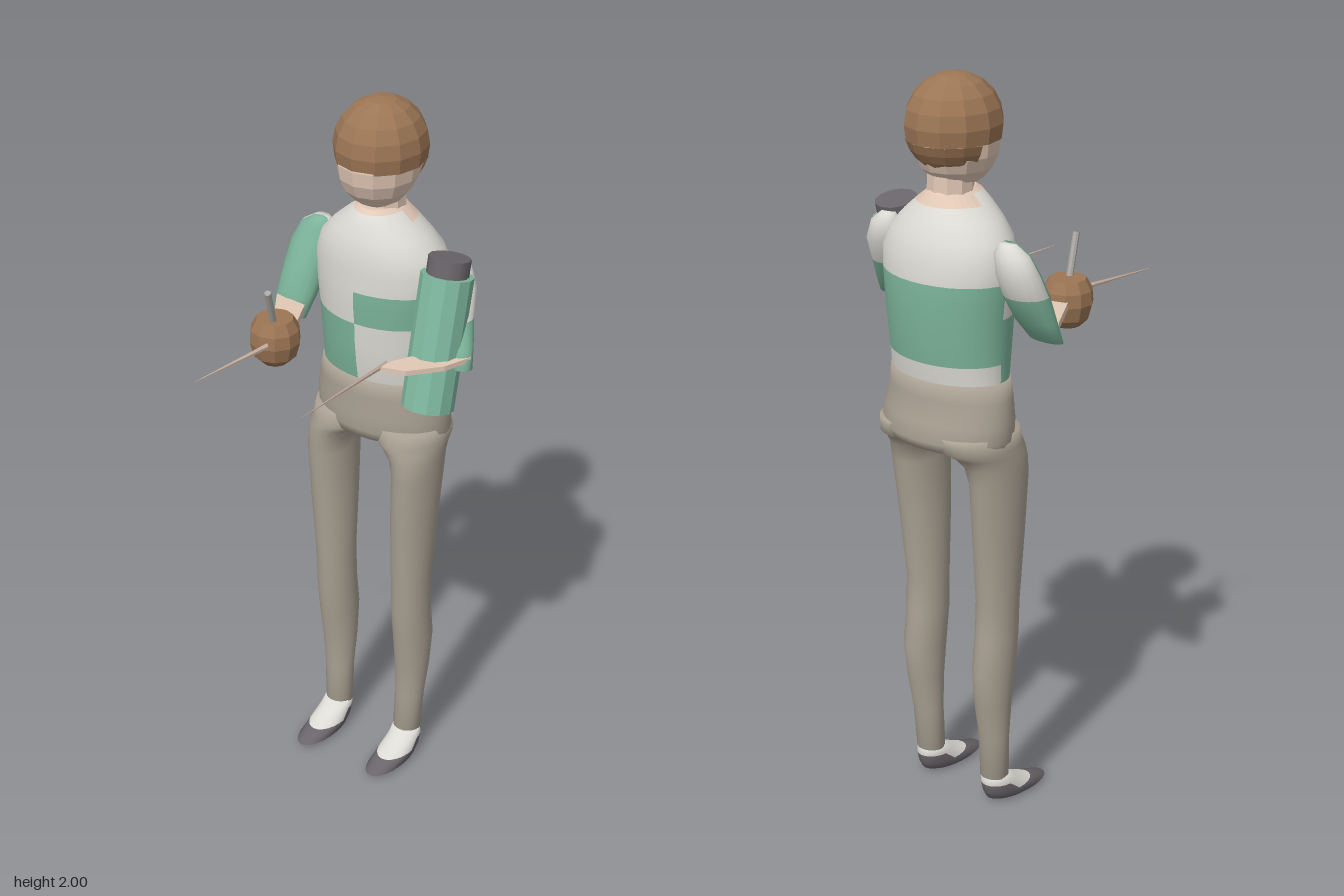
import * as THREE from 'three';

const mat = (name, color, extra = {}) => {
  const m = new THREE.MeshStandardMaterial({ color, ...extra });
  m.name = name;
  return m;
};

export function createModel() {
  const root = new THREE.Group();
  root.name = 'figure';
  const facet = { flatShading: true, side: THREE.DoubleSide };
  const white = mat('shirt white', 0xdddbd5);
  const green = mat('soft green', 0x7db59b, { side: THREE.DoubleSide });
  const grey = mat('trouser grey', 0xa9a092);
  const dark = mat('dark grey', 0x6a656a);
  const skin = mat('skin', 0xe2c8b6, facet);
  const brown = mat('hair brown', 0x9c7655, facet);
  const straw = mat('straw grey', 0xaaa7a3, facet);
  const CX = -0.02; // body centre line

  const add = (name, geo, material, parent = root) => {
    const m = new THREE.Mesh(geo, material);
    m.name = name;
    parent.add(m);
    return m;
  };

  // Stacked oval rings [y, x0, x1, zFront, zBack], rising; pick(y, sin, cos) chooses the material
  const loft = (name, rings, mats, pick = () => 0, n = 24) => {
    const pos = [], faces = mats.map(() => []);
    for (const [y, x0, x1, zf, zb] of rings)
      for (let j = 0; j < n; j++) {
        const a = (j / n) * Math.PI * 2;
        pos.push((x0 + x1) / 2 + Math.abs(x1 - x0) / 2 * Math.sin(a), y, (zf + zb) / 2 + (zf - zb) / 2 * Math.cos(a));
      }
    const top = rings.length - 1, c = rings.length * n;
    for (const i of [0, top]) {
      const [y, x0, x1, zf, zb] = rings[i];
      pos.push((x0 + x1) / 2, y, (zf + zb) / 2);
    }
    for (let j = 0; j < n; j++) {
      const k = (j + 1) % n, mid = ((j + 0.5) / n) * Math.PI * 2;
      const choose = y => faces[pick(y, Math.sin(mid), Math.cos(mid))];
      for (let i = 0; i < top; i++) {
        const a = i * n + j, b = i * n + k;
        choose((rings[i][0] + rings[i + 1][0]) / 2).push(a, b, b + n, a, b + n, a + n);
      }
      choose(rings[0][0]).push(c, k, j);
      choose(rings[top][0]).push(c + 1, top * n + j, top * n + k);
    }
    const g = new THREE.BufferGeometry();
    g.setAttribute('position', new THREE.Float32BufferAttribute(pos, 3));
    g.setIndex(faces.flat());
    let start = 0;
    faces.forEach((f, i) => { g.addGroup(start, f.length, i); start += f.length; });
    g.computeVertexNormals();
    return add(name, g, mats);
  };
  const centred = rows => rows.map(([y, r, zf, zb]) => [y, CX - r, CX + r, zf, zb]);

  // Cylinder between two points
  const rod = (name, a, b, r0, r1, sides, material) => {
    const A = new THREE.Vector3(...a), B = new THREE.Vector3(...b), d = B.clone().sub(A);
    const m = add(name, new THREE.CylinderGeometry(r1, r0, d.length(), sides), material);
    m.position.copy(A).add(B).multiplyScalar(0.5);
    m.quaternion.setFromUnitVectors(new THREE.Vector3(0, 1, 0), d.normalize());
    return m;
  };

  // Shirt: quartered front, one wide band behind
  loft('shirt', centred([
    [1.2, 0.178, -0.12, -0.345], [1.23, 0.176, -0.113, -0.35], [1.28, 0.177, -0.105, -0.358],
    [1.34, 0.18, -0.098, -0.365], [1.4, 0.185, -0.095, -0.37], [1.45, 0.19, -0.09, -0.372],
    [1.495, 0.194, -0.09, -0.372], [1.55, 0.194, -0.09, -0.368], [1.6, 0.175, -0.093, -0.352],
    [1.64, 0.138, -0.105, -0.33], [1.675, 0.098, -0.12, -0.308], [1.7, 0.066, -0.135, -0.29], [1.71, 0.05, -0.15, -0.28],
  ]), [white, green, skin], (y, s, c) => {
    if (y > 1.7 || (y > 1.68 && c < 0)) return 2;
    if (y > 1.495 || y < 1.23) return 0;
    if (c < 0) return y > 1.28 ? 1 : 0;
    return (y > 1.4) === (s > 0) ? 1 : 0;
  }, 32);

  // Trousers
  loft('hips', centred([
    [1.04, 0.16, -0.14, -0.31], [1.05, 0.195, -0.115, -0.365], [1.075, 0.2, -0.108, -0.377],
    [1.12, 0.199, -0.108, -0.365], [1.18, 0.19, -0.112, -0.348], [1.23, 0.179, -0.11, -0.352],
  ]), [grey], undefined, 32);
  for (const s of [-1, 1]) {
    const side = s < 0 ? 'right' : 'left';
    const placed = rows => rows.map(([y, a, b, zf, zb]) => [y, CX + s * a, CX + s * b, zf, zb]);
    loft(side + 'TrouserLeg', placed([
      [0.075, 0.08, 0.16, -0.16, -0.235], [0.2, 0.081, 0.166, -0.163, -0.243], [0.3, 0.078, 0.174, -0.157, -0.262],
      [0.4, 0.076, 0.18, -0.143, -0.273], [0.5, 0.075, 0.18, -0.132, -0.26], [0.6, 0.075, 0.182, -0.13, -0.255],
      [0.8, 0.075, 0.193, -0.115, -0.275], [0.95, 0.079, 0.2, -0.106, -0.292], [1.0, 0.068, 0.201, -0.106, -0.302],
      [1.03, 0.04, 0.201, -0.106, -0.325], [1.05, 0.008, 0.2, -0.107, -0.355], [1.09, 0.005, 0.195, -0.115, -0.36],
    ]), [grey]);
    loft(side + 'Shoe', placed([
      [0, 0.085, 0.158, -0.025, -0.2], [0.01, 0.074, 0.17, -0.008, -0.222], [0.03, 0.074, 0.17, -0.07, -0.232],
      [0.055, 0.078, 0.166, -0.13, -0.236], [0.08, 0.081, 0.16, -0.157, -0.234],
    ]), [dark, white], (y, sn, c) => (y > (c > 0 ? 0.03 : 0.05) ? 1 : 0));
  }

  // Head, neck and hair
  rod('neck', [CX, 1.66, -0.225], [CX, 1.8, -0.225], 0.062, 0.058, 10, skin);
  const face = add('face', new THREE.SphereGeometry(1, 12, 10), skin);
  face.scale.set(0.108, 0.13, 0.118);
  face.position.set(CX, 1.835, -0.2);
  const hair = new THREE.Group();
  hair.name = 'hair';
  hair.position.set(CX, 1.87, -0.211);
  hair.scale.set(0.122, 0.13, 0.133);
  root.add(hair);
  const cut = Math.acos(-0.28);
  add('hairCrown', new THREE.SphereGeometry(1, 12, 6, 0, Math.PI * 2, 0, cut), brown, hair);
  add('hairBack', new THREE.SphereGeometry(1, 7, 3, Math.PI + 0.15, Math.PI - 0.3, cut, 0.62), brown, hair);

  // Sleeves with white shoulders
  const sleevePick = (y, s, c) => (y > 1.48 && c < 0.3 ? 0 : 1);
  loft('rightSleeve', [
    [1.34, -0.32, -0.21, -0.115, -0.16], [1.4, -0.318, -0.2, -0.125, -0.215], [1.47, -0.315, -0.19, -0.145, -0.255],
    [1.53, -0.31, -0.185, -0.175, -0.275], [1.58, -0.285, -0.185, -0.195, -0.272], [1.605, -0.245, -0.2, -0.215, -0.25],
  ], [white, green], sleevePick, 16);
  loft('leftSleeve', [
    [1.35, 0.24, 0.318, -0.115, -0.165], [1.4, 0.215, 0.303, -0.125, -0.2], [1.46, 0.18, 0.28, -0.15, -0.24],
    [1.53, 0.16, 0.265, -0.18, -0.275], [1.58, 0.16, 0.245, -0.2, -0.27], [1.605, 0.175, 0.215, -0.215, -0.25],
  ], [white, green], sleevePick, 16);

  // Thin forearms, outlined in x and z
  const plate = (name, pts, y, t) => {
    const g = new THREE.ExtrudeGeometry(new THREE.Shape(pts.map(p => new THREE.Vector2(...p))), { depth: t, bevelEnabled: false });
    add(name, g.rotateX(Math.PI / 2).translate(0, y + t / 2, 0), skin);
  };
  plate('rightForearm', [[-0.3, -0.13], [-0.2, -0.12], [-0.155, -0.02], [-0.14, 0.11], [-0.15, 0.11], [-0.215, 0]], 1.38, 0.02);
  plate('leftForearm', [[0.29, -0.17], [0.31, -0.15], [0.282, -0.07], [0.215, 0.01], [0.148, 0.03], [0.155, -0.01], [0.18, -0.06]], 1.375, 0.014);
  // Long thin spikes reaching forward from the hands
  for (const [name, a, b] of [
    ['rightSpike', [-0.145, 1.385, 0.1], [-0.177, 1.388, 0.375]],
    ['leftSpike', [0.15, 1.38, 0], [0.147, 1.388, 0.36]],
  ]) rod(name, a, b, 0.009, 0.001, 4, skin).scale.x = 0.3;

  // Flask with a dark cap
  const bottom = [0.213, 1.227, -0.098], shoulder = [0.213, 1.58, -0.178];
  rod('flask', bottom, shoulder, 0.07, 0.07, 12, mat('flask green', 0x80b9a0, { flatShading: true }));
  rod('flaskCap', shoulder, [0.213, 1.625, -0.188], 0.056, 0.056, 12, dark);

  // Round cup with a drinking straw
  const cupProfile = [[0, -0.075], [0.035, -0.068], [0.058, -0.045], [0.069, -0.005], [0.066, 0.03], [0.05, 0.06], [0, 0.06]]
    .map(p => new THREE.Vector2(...p));
  add('cup', new THREE.LatheGeometry(cupProfile, 10), brown).position.set(-0.168, 1.377, 0.053);
  rod('drinkingStraw', [-0.166, 1.4, 0.055], [-0.143, 1.54, 0.114], 0.009, 0.009, 8, straw);

  return root;
}
